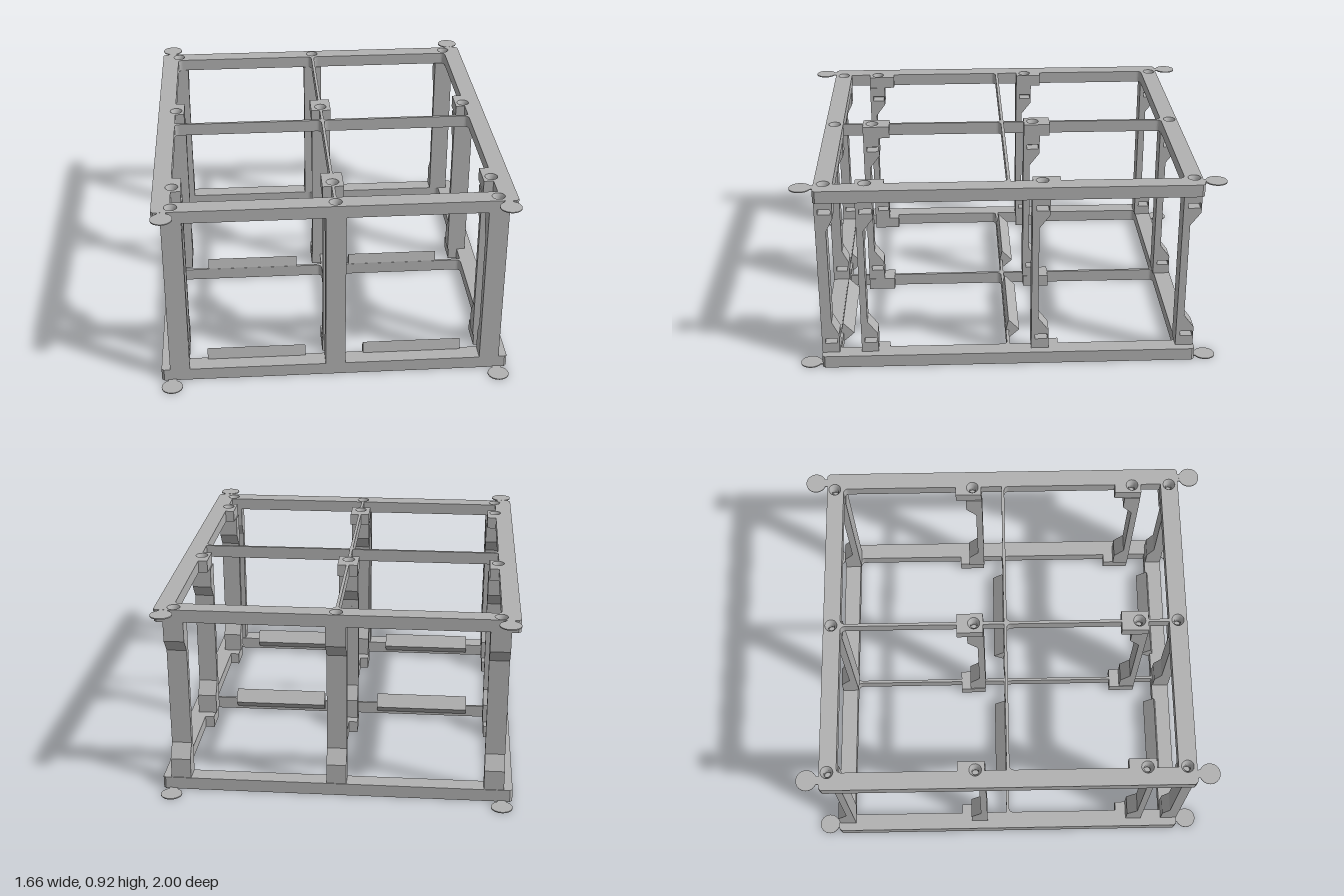
import * as THREE from 'three';

const HEIGHT = 0.922, DEPTH = 0.06;
const COLUMNS = [-0.742, 0, 0.742];
const SCREW_Z = [-0.855, -0.155, 0.66, 0.848];

const shapeOf = (pts) => new THREE.Shape(pts.map(([a, b]) => new THREE.Vector2(a, b)));

// One opening in the frame, notched around the screw pads; side is +1 or -1.
function opening(side, z0, z1, p0, p1) {
  const a = 0.007, b = 0.745, r = 0.025;
  const p = new THREE.Path();
  p.moveTo(side * (a + r), z0);
  p.lineTo(side * (b - r), z0);
  p.quadraticCurveTo(side * b, z0, side * b, z0 + r);
  for (const [x, z] of [[b, p0], [0.7, p0], [0.7, p1], [b, p1], [b, z1], [a, z1], [a, p1], [0.05, p1], [0.05, p0], [a, p0]]) {
    p.lineTo(side * x, z);
  }
  p.lineTo(side * a, z0 + r);
  p.quadraticCurveTo(side * a, z0, side * (a + r), z0);
  return p;
}

// Flat frame with its upper face at y = 0.
function makeFrame(material) {
  const frame = new THREE.Group();
  const w = 0.83, d = 0.893, c = 0.012;
  const outline = shapeOf([[-w + c, -d], [w - c, -d], [w, -d + c], [w, d - c], [w - c, d], [-w + c, d], [-w, d - c], [-w, -d + c]]);
  for (const side of [-1, 1]) {
    outline.holes.push(opening(side, -0.81, -0.007, -0.24, -0.11));
    outline.holes.push(opening(side, 0.007, 0.805, 0.572, 0.705));
  }
  // Countersunk screw seats
  const seat = new THREE.LatheGeometry([
    [0.031, -DEPTH], [0.016, -DEPTH], [0.016, -0.025], [0.031, 0],
  ].map(([r, y]) => new THREE.Vector2(r, y)).reverse(), 24);
  const seatMaterial = material.clone();
  seatMaterial.side = THREE.DoubleSide;
  for (const x of COLUMNS) for (const z of SCREW_Z) {
    outline.holes.push(new THREE.Path().absarc(x, z, 0.03, 0, Math.PI * 2, true));
    const m = new THREE.Mesh(seat, seatMaterial);
    m.name = 'screwSeat';
    m.position.set(x, 0, z);
    frame.add(m);
  }
  const geo = new THREE.ExtrudeGeometry(outline, { depth: DEPTH, bevelEnabled: false, curveSegments: 12 });
  geo.rotateX(Math.PI / 2);
  const plate = new THREE.Mesh(geo, material);
  plate.name = 'framePlate';
  frame.add(plate);
  // Thin corner discs with short necks
  for (const x of [-0.78, 0.78]) for (const s of [-1, 1]) {
    const disc = new THREE.Mesh(new THREE.CylinderGeometry(0.05, 0.05, 0.005, 32), material);
    disc.name = 'cornerDisc';
    disc.position.set(x, -0.0025, s * 0.95);
    const neck = new THREE.Mesh(new THREE.BoxGeometry(0.04, 0.0048, 0.03), material);
    neck.name = 'discNeck';
    neck.position.set(x, -0.0026, s * 0.9);
    frame.add(disc, neck);
  }
  return frame;
}

// Post with thickened ends; nut slots open on the +x side.
function makePost(front, waist, back, screwZ, material) {
  const post = new THREE.Group();
  post.name = 'post';
  const lo = DEPTH, hi = HEIGHT - DEPTH;
  const profile = () => shapeOf([
    [front, lo], [front, hi], [back, hi], [back, 0.765], [waist, 0.7],
    [waist, 0.222], [back, 0.157], [back, lo],
  ]);
  const slotted = profile();
  for (const y of [0.122, 0.8]) {
    const a = screwZ - 0.029, b = screwZ + 0.029, h = 0.0125;
    slotted.holes.push(shapeOf([[a, y - h], [b, y - h], [b, y + h], [a, y + h]]));
  }
  for (const [name, shape, depth, x] of [['slottedHalf', slotted, 0.06, 0.047], ['solidHalf', profile(), 0.034, -0.013]]) {
    const geo = new THREE.ExtrudeGeometry(shape, { depth, bevelEnabled: false });
    geo.rotateY(-Math.PI / 2);
    const m = new THREE.Mesh(geo, material);
    m.name = name;
    m.position.x = x;
    post.add(m);
  }
  return post;
}

export function createModel() {
  const model = new THREE.Group();
  model.name = 'rackFrame';
  const grey = new THREE.MeshStandardMaterial({ color: 0xb2b2b2 });
  grey.name = 'grey';

  // Upper frame, and the same part turned over as the base
  const top = makeFrame(grey);
  top.name = 'topFrame';
  top.position.y = HEIGHT;
  const base = makeFrame(grey);
  base.name = 'baseFrame';
  base.rotation.z = Math.PI;
  model.add(top, base);

  // Four rows of three posts: front face, waist and back face in z
  const rows = [[-0.805, -0.84, -0.889], [-0.107, -0.14, -0.19], [0.705, 0.673, 0.625], [0.893, 0.843, 0.81]];
  rows.forEach(([front, waist, back], i) => {
    for (const x of COLUMNS) {
      const post = makePost(front, waist, back, SCREW_Z[i], grey);
      post.position.x = x;
      model.add(post);
    }
  });

  // Triangular stop ridges on the base
  for (const z of [0, 0.812]) for (const x of [-0.375, 0.375]) {
    const shape = shapeOf([[0.006, 0.002], [0.006, 0.062], [-0.006, 0.115], [-0.059, 0.06]]);
    const geo = new THREE.ExtrudeGeometry(shape, { depth: 0.47, bevelEnabled: false });
    geo.rotateY(-Math.PI / 2);
    const ridge = new THREE.Mesh(geo, grey);
    ridge.name = 'stopRidge';
    ridge.position.set(x + 0.235, 0, z);
    model.add(ridge);
  }
  return model;
}
